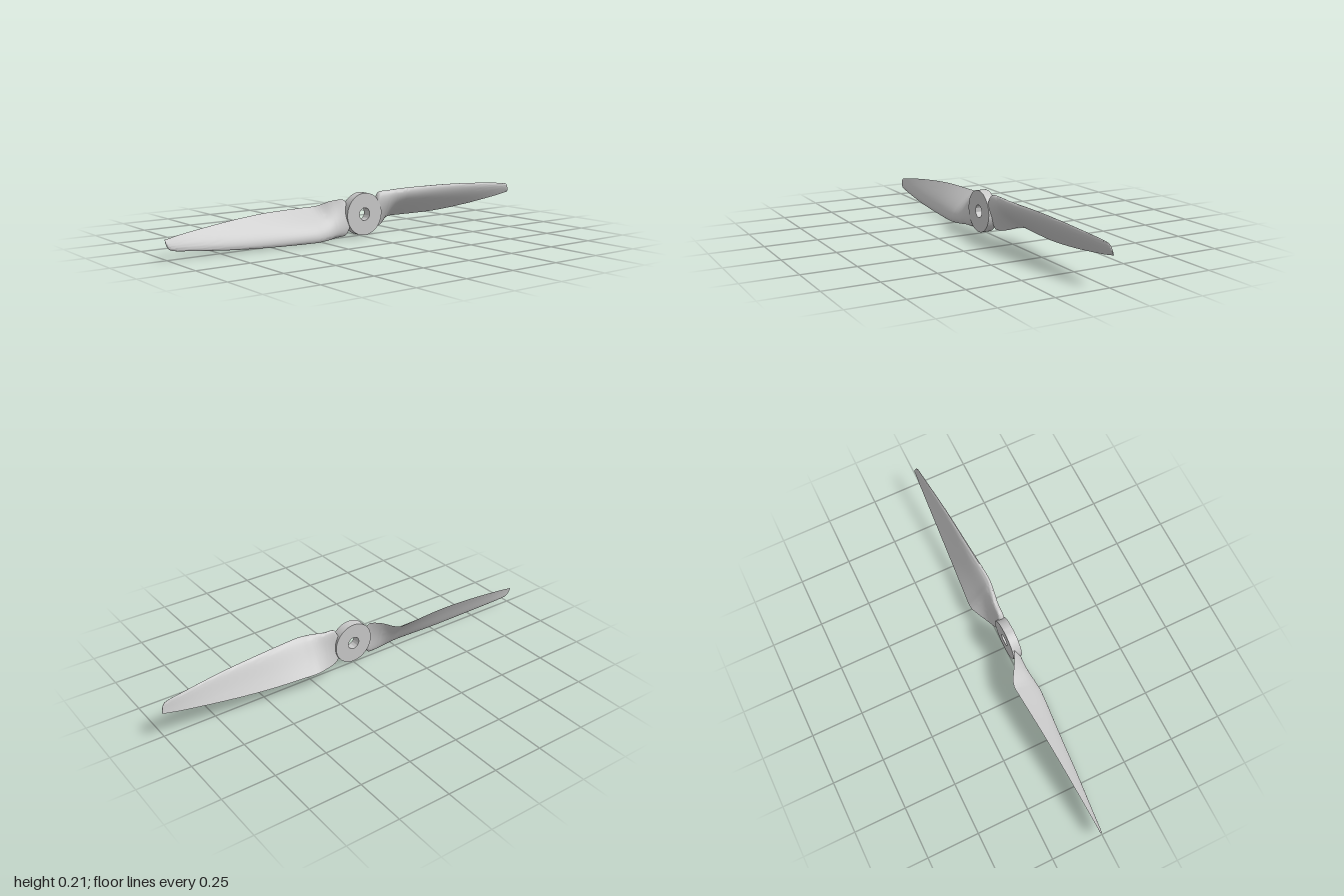
import * as THREE from 'three';
import { toCreasedNormals } from 'three/addons/utils/BufferGeometryUtils.js';

const CENTRE_Y = 0.11;

// Blade stations: x, leading edge y and z, trailing edge y and z, thickness
const STATIONS = [
  [0.08, 0.175, 0.018, 0.055, 0.005, 0.030],
  [0.10, 0.205, 0.018, 0.037, 0.000, 0.036],
  [0.15, 0.209, 0.022, 0.043, -0.025, 0.040],
  [0.20, 0.213, 0.035, 0.062, -0.055, 0.042],
  [0.24, 0.215, 0.043, 0.068, -0.069, 0.042],
  [0.30, 0.216, 0.047, 0.068, -0.066, 0.038],
  [0.50, 0.213, 0.033, 0.071, -0.050, 0.028],
  [0.70, 0.204, 0.020, 0.088, -0.036, 0.020],
  [0.90, 0.188, 0.002, 0.114, -0.023, 0.012],
  [0.97, 0.180, -0.004, 0.126, -0.018, 0.009],
  [0.99, 0.168, -0.007, 0.130, -0.017, 0.007],
  [1.00, 0.145, -0.012, 0.131, -0.016, 0.004],
];

const curve = (pick) => new THREE.CatmullRomCurve3(
  STATIONS.map((s) => new THREE.Vector3(...pick(s))), false, 'catmullrom', 0.5);

// Airfoil: arched front face and almost flat back face, both with a round nose
const front = (s) => 2.1 * Math.sqrt(s) * (1 - s) * (1 - 0.35 * s);
const back = (s) => -0.9 * Math.sqrt(s) * Math.pow(1 - s, 3);

function bladeGeometry() {
  const leading = curve((s) => [s[0], s[1] - CENTRE_Y, s[2]]);
  const trailing = curve((s) => [s[0], s[3] - CENTRE_Y, s[4]]);
  const thickness = curve((s) => [s[0], s[5], 0]);
  const rows = 66, half = 18, ring = half * 2;
  const pos = [], index = [];

  for (let i = 0; i <= rows; i++) {
    const u = i / rows;
    const le = leading.getPoint(u), te = trailing.getPoint(u);
    const t = thickness.getPoint(u).y;
    const dy = te.y - le.y, dz = te.z - le.z, len = Math.hypot(dy, dz);
    const ny = dz / len, nz = -dy / len;
    for (let j = 0; j < ring; j++) {
      // Down the front from nose to trailing edge, then back up behind
      const s = (1 - Math.cos((Math.PI * j) / half)) / 2;
      const h = t * (j === 0 || j === half ? 0 : j < half ? front(s) : back(s));
      pos.push(le.x, le.y + dy * s + ny * h, le.z + dz * s + nz * h);
    }
  }
  for (let i = 0; i < rows; i++) {
    for (let j = 0; j < ring; j++) {
      const a = i * ring + j, b = i * ring + ((j + 1) % ring);
      index.push(a, b, a + ring, b, b + ring, a + ring);
    }
  }
  // Root and tip caps, stitched across front to back
  const tip = rows * ring;
  for (let j = 0; j < half; j++) {
    const a = j, b = j + 1, c = ring - j - 1, d = (ring - j) % ring;
    index.push(a, c, b, tip + a, tip + b, tip + c);
    if (j > 0) index.push(a, d, c, tip + a, tip + c, tip + d);
  }
  const g = new THREE.BufferGeometry();
  g.setAttribute('position', new THREE.Float32BufferAttribute(pos, 3));
  g.setIndex(index);
  return toCreasedNormals(g, 0.7);
}

// Disc with a shaft hole
function hubGeometry() {
  const r = 0.1, hole = 0.03, z0 = -0.003, z1 = 0.041;
  const profile = [[hole, z0], [r, z0], [r, z1], [hole, z1], [hole, z0]]
    .map(([x, y]) => new THREE.Vector2(x, y));
  const g = new THREE.LatheGeometry(profile, 64);
  g.rotateX(Math.PI / 2);
  return toCreasedNormals(g, 0.6);
}

export function createModel() {
  const model = new THREE.Group();
  model.name = 'propeller';
  const material = new THREE.MeshStandardMaterial({ color: 0xcccccc, side: THREE.DoubleSide });

  const hub = new THREE.Mesh(hubGeometry(), material);
  hub.name = 'hub';
  hub.position.y = CENTRE_Y;
  model.add(hub);

  // Two equal blades, half a turn apart
  const geometry = bladeGeometry();
  ['leftBlade', 'rightBlade'].forEach((name, i) => {
    const blade = new THREE.Mesh(geometry, material);
    blade.name = name;
    blade.position.y = CENTRE_Y;
    blade.rotation.z = i * Math.PI;
    model.add(blade);
  });
  return model;
}
